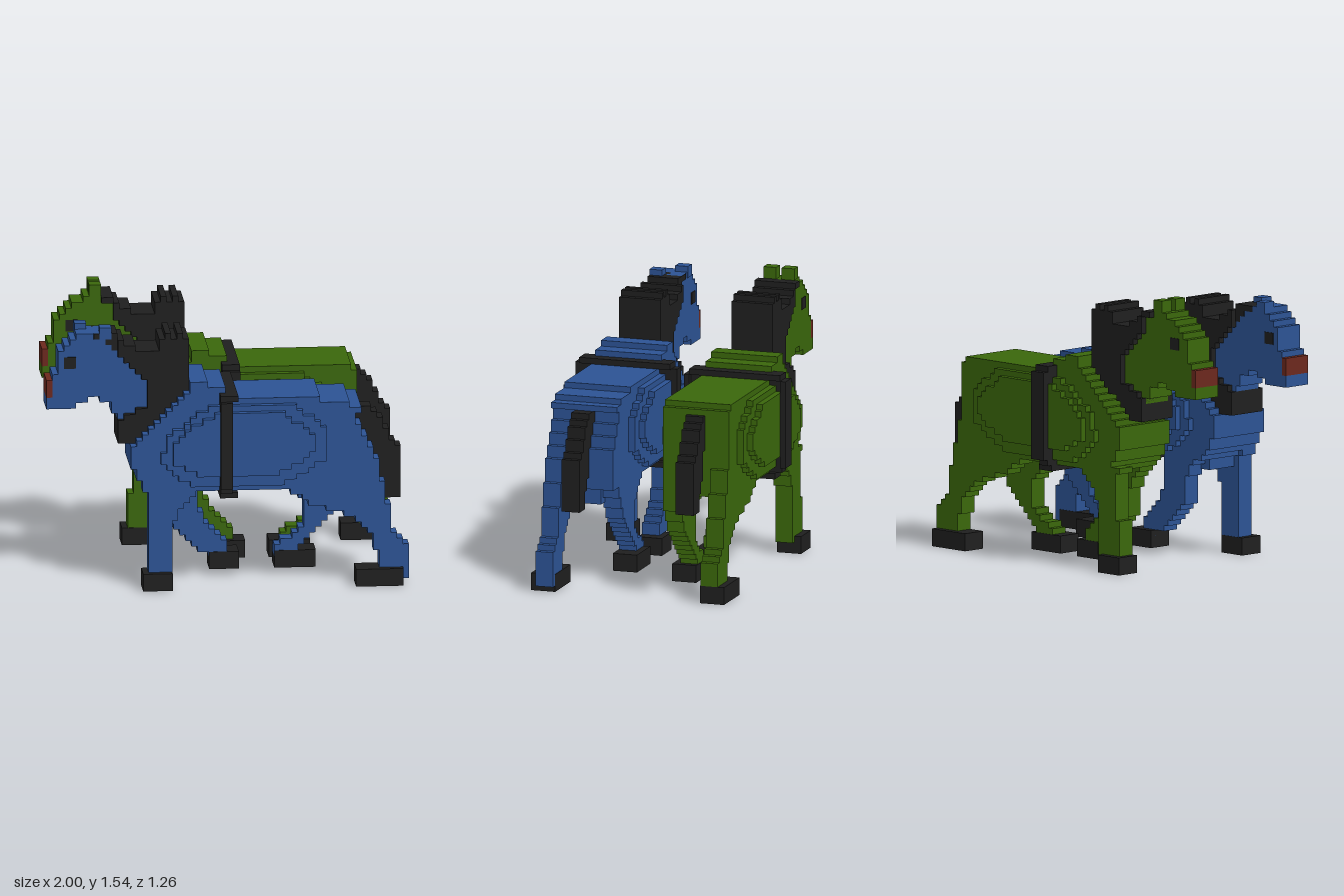
import * as THREE from 'three';
import { mergeGeometries } from 'three/addons/utils/BufferGeometryUtils.js';

const V = 2 / 61; // block size

function makeMaterial(name, color) {
  const m = new THREE.MeshStandardMaterial({ color });
  m.name = name;
  return m;
}

// Fill a side outline with rows of blocks
function blockRows(outline, dx, dy, z0, z1) {
  const pts = outline.map(([x, y]) => [x + dx, y + dy]);
  const ys = pts.map(p => p[1]);
  const boxes = [];
  const first = Math.round(Math.min(...ys) / V), last = Math.round(Math.max(...ys) / V);
  for (let r = first; r < last; r++) {
    const y = (r + 0.5) * V, hits = [];
    pts.forEach(([xa, ya], i) => {
      const [xb, yb] = pts[(i + 1) % pts.length];
      if ((ya > y) !== (yb > y)) hits.push(xa + ((y - ya) / (yb - ya)) * (xb - xa));
    });
    hits.sort((a, b) => a - b);
    for (let i = 0; i + 1 < hits.length; i += 2) {
      const a = Math.round((hits[i] + 1) / V) * V - 1, b = Math.round((hits[i + 1] + 1) / V) * V - 1;
      if (b - a < V / 2) continue;
      const g = new THREE.BoxGeometry(b - a, V, z1 - z0);
      g.translate((a + b) / 2, y, (z0 + z1) / 2);
      boxes.push(g);
    }
  }
  return mergeGeometries(boxes);
}

const rect = (x0, y0, x1, y1) => [[x0, y0], [x1, y0], [x1, y1], [x0, y1]];

// Side outlines
const torso = [[-0.54, 0.72], [-0.54, 0.81], [-0.5, 0.85], [-0.4, 0.95], [-0.28, 1.05], [-0.23, 1.12], [-0.2, 1.19],
  [-0.1, 1.19], [-0.1, 1.16], [-0.03, 1.13], [0, 1.09], [0.5, 1.09], [0.5, 1.06], [0.68, 1.06], [0.68, 1.02], [0.74, 1.01],
  [0.71, 0.95], [0.76, 0.84], [0.81, 0.74], [0.81, 0.56], [-0.44, 0.56], [-0.48, 0.6]];
const flank1 = [[-0.37, 0.72], [-0.35, 0.86], [-0.2, 0.98], [-0.1, 1.055], [0.35, 1.055], [0.47, 0.96], [0.54, 0.9],
  [0.54, 0.74], [0.4, 0.65], [0.3, 0.59], [-0.18, 0.59], [-0.3, 0.65]];
const flank2 = [[-0.3, 0.74], [-0.3, 0.86], [-0.18, 0.95], [-0.03, 1.02], [0.27, 1.02], [0.38, 0.95], [0.47, 0.88],
  [0.47, 0.78], [0.36, 0.71], [0.22, 0.65], [-0.12, 0.65], [-0.24, 0.7]];
const head = [[-1, 1.02], [-0.82, 1.02], [-0.82, 1.055], [-0.76, 1.055], [-0.76, 1.085], [-0.72, 1.085], [-0.72, 1.05],
  [-0.64, 1.05], [-0.61, 0.96], [-0.4, 0.96], [-0.4, 1.22], [-0.55, 1.3], [-0.62, 1.41], [-0.74, 1.44], [-0.82, 1.44],
  [-0.87, 1.4], [-0.92, 1.34], [-0.93, 1.26], [-0.967, 1.2], [-0.967, 1.085], [-1, 1.085]];
const mane = [[-0.62, 1.44], [-0.6, 1.41], [-0.53, 1.37], [-0.44, 1.33], [-0.37, 1.33], [-0.37, 1.41], [-0.34, 1.41],
  [-0.34, 1.44], [-0.305, 1.44], [-0.305, 1.41], [-0.27, 1.41], [-0.27, 1.44], [-0.235, 1.44], [-0.235, 1.41], [-0.2, 1.41],
  [-0.2, 1.14], [-0.27, 1.03], [-0.4, 0.93], [-0.5, 0.86],
  [-0.53, 0.81], [-0.62, 0.81], [-0.61, 0.96], [-0.52, 0.99], [-0.45, 1.03], [-0.44, 1.18], [-0.52, 1.24], [-0.62, 1.33]];
const tail = [[0.68, 0.98], [0.78, 0.98], [0.84, 0.94], [0.88, 0.86], [0.93, 0.78], [0.96, 0.72], [0.96, 0.46],
  [0.88, 0.46], [0.86, 0.56], [0.81, 0.65], [0.79, 0.78], [0.72, 0.88]];

// Legs: side is +1 for the outer side; shift, hoofShift and foot vary the second horse
const legs = [
  { name: 'outerFrontLeg', side: 1, hoof: [-0.48, 0, -0.3, 0.1], shift: [0, 0], hoofShift: [-V, 0],
    foot: rect(-0.475, 0.08, -0.31, 0.28),
    outline: [[-0.48, 0.6], [-0.12, 0.6], [-0.16, 0.56], [-0.28, 0.46], [-0.31, 0.35], [-0.31, 0.08], [-0.44, 0.08], [-0.44, 0.53]] },
  { name: 'innerFrontLeg', side: -1, hoof: [-0.08, 0.035, 0.09, 0.135], shift: [2 * V, -V], hoofShift: [2 * V, -V],
    outline: [[-0.42, 0.6], [-0.15, 0.6], [-0.16, 0.42], [-0.11, 0.32], [-0.04, 0.22], [0.03, 0.16], [0.03, 0.1],
      [-0.07, 0.1], [-0.15, 0.16], [-0.22, 0.2], [-0.25, 0.27], [-0.31, 0.29], [-0.31, 0.45]] },
  { name: 'outerHindLeg', side: 1, hoof: [0.72, 0, 0.96, 0.1], shift: [-V, 0], hoofShift: [0, 0], floor: 0.1,
    outline: [[0.28, 0.65], [0.81, 0.75], [0.86, 0.56], [0.9, 0.4], [0.92, 0.3], [1, 0.2], [1, 0.035], [0.83, 0.035],
      [0.83, 0.18], [0.79, 0.29], [0.71, 0.38], [0.57, 0.43], [0.46, 0.47], [0.32, 0.56]] },
  { name: 'innerHindLeg', side: -1, hoof: [0.28, 0.035, 0.5, 0.135], shift: [2 * V, -V], hoofShift: [0, -V],
    outline: [[0.26, 0.65], [0.72, 0.65], [0.72, 0.52], [0.64, 0.42], [0.62, 0.36], [0.56, 0.3], [0.47, 0.2], [0.4, 0.13],
      [0.4, 0.1], [0.28, 0.1], [0.28, 0.14], [0.36, 0.21], [0.43, 0.28], [0.46, 0.36], [0.43, 0.43], [0.37, 0.5], [0.27, 0.56]] },
];

function horse(name, coat, black, brown, second) {
  const group = new THREE.Group();
  group.name = name;
  const s = second ? -1 : 1;
  const add = (part, outline, mat, z0, z1, dx = 0, dy = 0) => {
    const geo = blockRows(outline, dx, dy, Math.min(z0 * s, z1 * s), Math.max(z0 * s, z1 * s));
    const mesh = new THREE.Mesh(geo, mat);
    mesh.name = part;
    group.add(mesh);
  };
  const b = second ? 2 * V : 0, h = second ? V : 0;

  // Torso with stepped flanks; the second horse has a higher, shorter rump and longer flanks
  const body = second ? torso.map(([x, y]) => x >= 0.5
    ? [Math.min(x, 0.715), y > 1 && y < 1.08 ? y + V : y] : [x, y]) : torso;
  const longer = outline => outline.map(([x, y]) => [x > 0.2 ? x + h : x, y]);
  add('torso', body, coat, -0.193, 0.193, b);
  add('flank', longer(flank1), coat, -0.23, 0.23, b);
  add('flankOuter', longer(flank2), coat, -0.265, 0.265, b);
  if (!second) {
    add('groin', rect(0.5, 0.47, 0.74, 0.58), coat, -0.1, 0.1);
    add('chest', rect(-0.4, 0.5, -0.2, 0.58), coat, -0.1, 0.1);
  }

  // Girth strap, a chamfered ring
  for (const side of [-1, 1]) {
    add('strapSide', rect(-0.053, 0.59, second ? 0.047 : 0.016, 1.09), black, side * 0.265, side * 0.297, b);
    add('strapLowerCorner', rect(-0.053, 0.555, 0.016, 0.655), black, side * 0.18, side * 0.266, b);
    add('strapUpperCorner', rect(-0.053, 1.0, 0.016, 1.09), black, side * 0.18, side * 0.266, b);
  }
  add('strapTop', rect(-0.053, 1.085, 0.047, 1.12), black, -0.265, 0.265, b);
  add('strapBottom', rect(-0.053, 0.53, 0.047, 0.565), black, -0.235, 0.235, b);

  // Head; the second horse has a taller crown
  const skull = second ? head.map(([x, y]) => [x, y > 1.3 && x > -0.8 ? y + V : y]) : head;
  add('head', skull, coat, -0.086, 0.086, h);
  add('nose', rect(-1, 1.085, -0.967, 1.18), brown, -0.086, 0.086, h);

  // Mane and forelock
  add('mane', mane, black, -0.12, 0.12, h, h);
  if (second) add('forelock', rect(-0.68, 1.41, -0.62, 1.44), black, -0.12, 0.12, h, h);
  else add('forelock', [[-0.75, 1.44], [-0.61, 1.44], [-0.61, 1.34], [-0.65, 1.37], [-0.7, 1.41], [-0.75, 1.41]], black, -0.089, 0.089);

  // Eyes and ears; the first horse turns one ear forward
  for (const side of [-1, 1]) {
    add('eye', rect(-0.89, 1.235, -0.82, 1.3), black, side * 0.084, side * 0.09, 2 * h, h);
    const earX = second || side > 0 ? -0.72 : -0.82;
    add('ear', rect(earX, 1.41, earX + 2 * V, 1.475), coat, side * 0.016, side * 0.09, 0, 2 * h);
  }

  // Tail
  add('tail', tail, black, -0.052, 0.052, 0, h);

  // Legs and hooves
  for (const leg of legs) {
    const [dx, dy] = second ? leg.shift : [0, 0];
    const [hx, hy] = second ? leg.hoofShift : [0, 0];
    const outline = second && leg.floor ? leg.outline.map(([x, y]) => [x, Math.max(y, leg.floor)]) : leg.outline;
    add(leg.name, outline, coat, leg.side * 0.092, leg.side * 0.193, dx, dy);
    if (second && leg.foot) add('pastern', leg.foot, coat, leg.side * 0.092, leg.side * 0.193);
    add('hoof', rect(...leg.hoof), black, leg.side * 0.09, leg.side * 0.23, hx, hy);
  }
  group.position.z = 0.333 * s;
  return group;
}

export function createModel() {
  const blue = makeMaterial('blue coat', 0x2c5394);
  const green = makeMaterial('green coat', 0x3a670b);
  const black = makeMaterial('black', 0x1f1f1f);
  const brown = makeMaterial('reddish brown', 0x6c281d);
  const model = new THREE.Group();
  model.name = 'horsePair';
  model.add(horse('blueHorse', blue, black, brown, false));
  model.add(horse('greenHorse', green, black, brown, true));
  return model;
}
